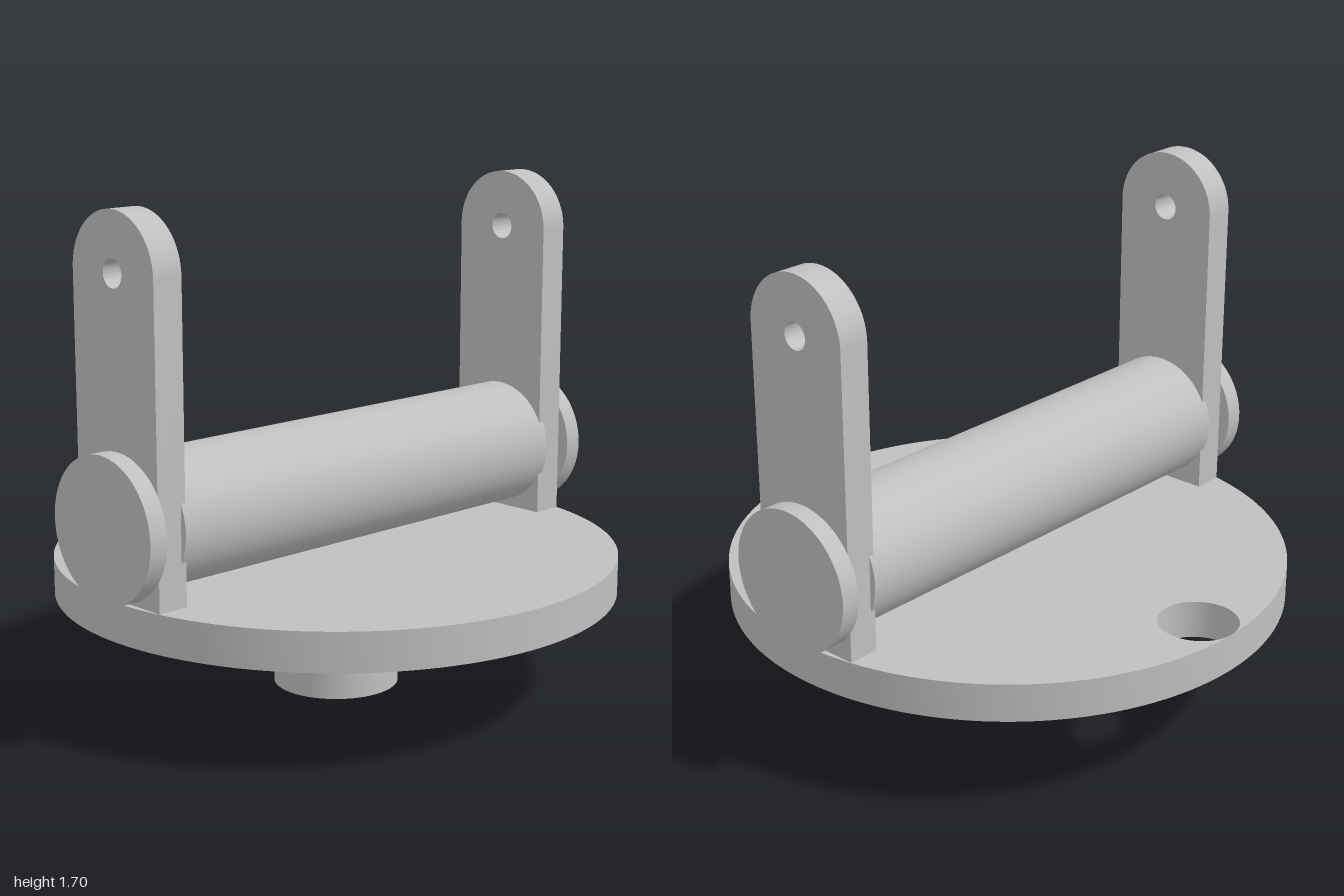
import * as THREE from 'three';
import { toCreasedNormals } from 'three/addons/utils/BufferGeometryUtils.js';

export function createModel() {
  const model = new THREE.Group();
  model.name = 'rollerBracket';
  const steel = new THREE.MeshStandardMaterial({ color: 0xc0c0c0 });
  steel.name = 'grey steel';

  const add = (name, geometry) => {
    const mesh = new THREE.Mesh(geometry, steel);
    mesh.name = name;
    model.add(mesh);
    return mesh;
  };
  const extrude = (shape, depth) => toCreasedNormals(
    new THREE.ExtrudeGeometry(shape, { depth, bevelEnabled: false, curveSegments: 64 }), 0.6);
  const circleHole = (x, y, r) => new THREE.Path().absarc(x, y, r, 0, Math.PI * 2, true);
  const post = (name, r, y0, y1) =>
    add(name, new THREE.CylinderGeometry(r, r, y1 - y0, 64).translate(0, (y0 + y1) / 2, 0));
  const axle = (name, r, x0, x1) =>
    add(name, new THREE.CylinderGeometry(r, r, x1 - x0, 64)
      .rotateZ(Math.PI / 2).translate((x0 + x1) / 2, 0.718, 0));

  // Stem and collar under the plate
  post('stem', 0.214, 0, 0.33);
  post('collar', 0.281, 0.33, 0.35);

  // Round base plate with a hole touching its rear edge
  const disc = new THREE.Shape().absarc(0, 0, 0.957, 0, Math.PI * 2, false);
  disc.holes.push(circleHole(0, 0.824, 0.1325));
  add('basePlate', extrude(disc, 0.13).rotateX(-Math.PI / 2).translate(0, 0.35, 0));

  // Horizontal roller, its ends let into the uprights
  axle('roller', 0.217, -0.845, 0.845);

  // Round-topped uprights with pin holes, and end caps outside them
  const w = 0.195, eyeY = 1.505;
  const arm = new THREE.Shape();
  arm.moveTo(-w, 0.48);
  arm.lineTo(w, 0.48);
  arm.lineTo(w, eyeY);
  arm.absarc(0, eyeY, w, 0, Math.PI, false);
  arm.closePath();
  arm.holes.push(circleHole(0, eyeY, 0.045));
  for (const [side, s] of [['left', 1], ['right', -1]]) {
    add(side + 'Upright', extrude(arm, 0.108).translate(0, 0, -0.054).rotateY(Math.PI / 2))
      .position.x = s * 0.881;
    axle(side + 'EndCap', 0.238, s > 0 ? 0.935 : -1, s > 0 ? 1 : -0.935);
  }
  return model;
}
